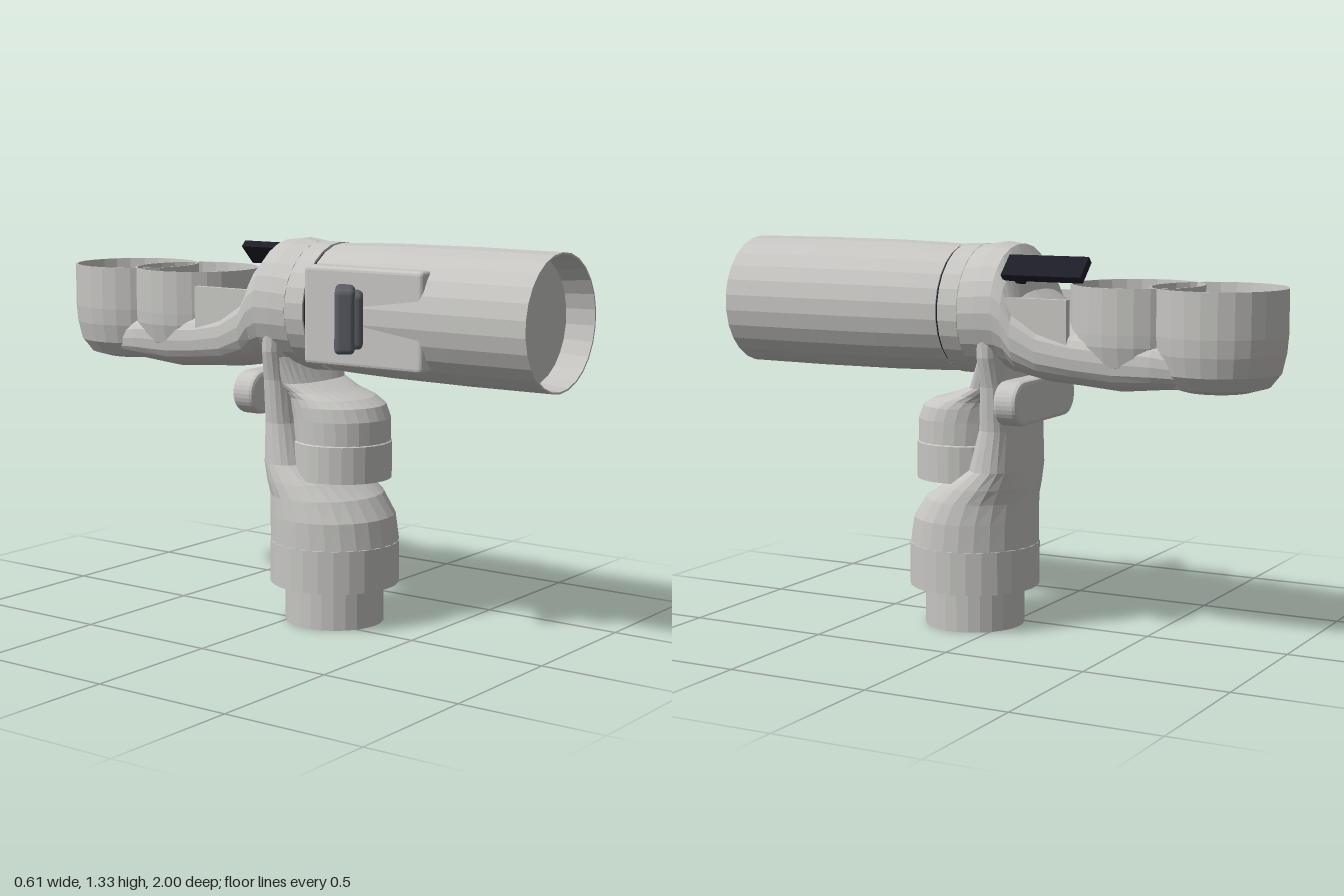
import * as THREE from 'three';
import { RoundedBoxGeometry } from 'three/addons/geometries/RoundedBoxGeometry.js';

const CX = 0.08; // shared centre line of barrel, handle and cups
const SEG = 26;

export function createModel() {
  const group = new THREE.Group();
  const mat = (name, color) => {
    const m = new THREE.MeshStandardMaterial({ color, flatShading: true });
    m.name = name;
    return m;
  };
  const grey = mat('light grey', 0xc6c5c2);
  const slate = mat('slate grey', 0x5c5e66);
  const black = mat('near black', 0x1d1d28);

  const add = (name, geo, m, x = 0, y = 0, z = 0) => {
    const mesh = new THREE.Mesh(geo, m);
    mesh.name = name;
    mesh.position.set(x, y, z);
    group.add(mesh);
    return mesh;
  };
  const lathe = (pts) => new THREE.LatheGeometry(pts.map((p) => new THREE.Vector2(...p)), SEG);

  // Skin closed rings of points; rings turn anticlockwise around the loft axis
  const loft = (rings) => {
    const pos = [], idx = [], n = rings[0].length;
    rings.forEach((r) => r.forEach((p) => pos.push(...p)));
    for (let j = 0; j < rings.length - 1; j++) {
      for (let i = 0; i < n; i++) {
        const a = j * n + i, b = j * n + (i + 1) % n;
        idx.push(a, b, b + n, a, b + n, a + n);
      }
    }
    const last = (rings.length - 1) * n;
    for (let i = 1; i < n - 1; i++) idx.push(0, i + 1, i, last, last + i, last + i + 1);
    const g = new THREE.BufferGeometry();
    g.setAttribute('position', new THREE.Float32BufferAttribute(pos, 3));
    g.setIndex(idx);
    g.computeVertexNormals();
    return g;
  };
  // Unit ring, squarer as the exponent drops below 1
  const unitRing = (e = 1) => Array.from({ length: SEG }, (_, i) => {
    const a = (i / SEG) * Math.PI * 2, c = Math.cos(a), s = Math.sin(a);
    return [Math.sign(c) * Math.abs(c) ** e, Math.sign(s) * Math.abs(s) ** e];
  });
  // Sections up y: [y, front z, back z, half width]
  const loftY = (secs) => loft(secs.map(([y, zf, zb, w, e]) =>
    unitRing(e).map(([c, s]) => [c * w, y, (zf + zb) / 2 - s * (zf - zb) / 2])));
  // Sections along z: [z, bottom y, top y, half width, exponent]
  const loftZ = (secs) => loft(secs.map(([z, y0, y1, w, e]) =>
    unitRing(e).map(([c, s]) => [c * w, (y0 + y1) / 2 + s * (y1 - y0) / 2, z])));

  // Long barrel with a recessed front face
  const barrel = add('barrel', lathe([
    [0, 0.152], [0.217, 0.152], [0.221, 0.25], [0.225, 0.4], [0.227, 0.7], [0.225, 1],
    [0.219, 1], [0.208, 0.9], [0, 0.9],
  ]), grey, CX, 1.097, 0);
  barrel.rotation.x = Math.PI / 2;

  // Dark joint and coupling ring behind the barrel
  const joint = add('barrelJoint', new THREE.CylinderGeometry(0.213, 0.213, 0.03, SEG), black, CX, 1.097, 0.148);
  joint.rotation.x = Math.PI / 2;
  const ring = add('couplingRing', lathe([
    [0, 0.05], [0.218, 0.05], [0.218, 0.066], [0.222, 0.07], [0.22, 0.143], [0, 0.143],
  ]), grey, CX, 1.097, 0);
  ring.rotation.x = Math.PI / 2;

  // Arm sweeping from the coupling down to the rear cups
  add('rearArm', loftZ([
    [-0.78, 0.875, 1.0, 0.17, 0.7],
    [-0.62, 0.865, 1.04, 0.2, 0.7],
    [-0.48, 0.85, 1.06, 0.205, 0.75],
    [-0.34, 0.862, 1.07, 0.215, 0.75],
    [-0.22, 0.87, 1.1, 0.222, 0.75],
    [-0.13, 0.885, 1.17, 0.225, 0.8],
    [-0.095, 0.89, 1.27, 0.226, 0.9],
    [-0.06, 0.885, 1.32, 0.227, 0.95],
    [0.0, 0.875, 1.327, 0.227, 1],
    [0.068, 0.875, 1.318, 0.222, 1],
  ]), grey, CX);

  // Low walls either side of the scoop in the arm
  for (const s of [-1, 1]) {
    add('scoopWall', new THREE.BoxGeometry(0.025, 0.16, 0.24), grey, CX + s * 0.195, 1.075, -0.21);
  }

  // Two open cups at the rear
  for (const [z, r, base] of [[-0.775, 0.225, 0.862], [-0.49, 0.222, 0.88]]) {
    add('rearCup', lathe([
      [0, base], [0.11, base + 0.003], [0.17, base + 0.02], [0.205, base + 0.065],
      [0.22, base + 0.13], [r, 1.05], [r, 1.2], [r - 0.006, 1.2], [0.203, 1.09], [0, 1.09],
    ]), grey, CX, 0, z);
  }

  // Handle: plug, collar and tapering body
  add('handlePlug', lathe([
    [0, 0.03], [0.16, 0.03], [0.166, 0], [0.172, 0], [0.172, 0.135], [0.165, 0.14], [0.165, 0.2],
  ]), grey, CX, 0, 0.123);
  add('handleCollar', lathe([
    [0.16, 0.18], [0.205, 0.18], [0.218, 0.14], [0.225, 0.14], [0.225, 0.288], [0.22, 0.29], [0, 0.29],
  ]), grey, CX, 0, 0.123);
  add('handleBody', loftY([
    [0.288, 0.346, -0.1, 0.224],
    [0.38, 0.33, -0.1, 0.222],
    [0.45, 0.28, -0.1, 0.212],
    [0.5, 0.2, -0.1, 0.202, 0.9],
    [0.56, 0.09, -0.098, 0.185, 0.8],
    [0.7, 0.05, -0.093, 0.172, 0.8],
    [0.85, 0.035, -0.085, 0.183, 0.75],
    [0.95, 0.035, -0.075, 0.205, 0.75],
    [1.08, 0.04, -0.07, 0.205, 0.75],
  ]), grey, CX);

  // Short downward spout under the barrel, with a sleeve at its mouth
  add('frontSpout', loftY([
    [0.63, 0.32, -0.01, 0.167],
    [0.72, 0.32, -0.02, 0.168],
    [0.765, 0.3, -0.03, 0.166],
    [0.79, 0.255, -0.035, 0.16],
    [0.81, 0.18, -0.04, 0.157],
    [0.84, 0.09, -0.05, 0.16, 0.8],
    [0.93, 0.045, -0.05, 0.18, 0.8],
  ]), grey, CX);
  add('spoutSleeve', lathe([
    [0, 0.56], [0.16, 0.56], [0.166, 0.512], [0.172, 0.512], [0.172, 0.638], [0.166, 0.642], [0, 0.642],
  ]), grey, CX, 0, 0.153);

  // Rounded cross bar on the back of the handle
  const bar = new THREE.Shape();
  bar.absarc(0.15, 0, 0.062, -Math.PI / 2, Math.PI / 2);
  bar.absarc(-0.15, 0, 0.062, Math.PI / 2, Math.PI * 1.5);
  add('crossBar', new THREE.ExtrudeGeometry(bar, {
    depth: 0.06, bevelEnabled: true, bevelSize: 0.013, bevelThickness: 0.013, bevelSegments: 2, curveSegments: 8,
  }), grey, CX, 0.8, -0.14);

  // Mounting block on the right of the barrel, narrowing towards the front
  const block = new RoundedBoxGeometry(0.1, 0.33, 0.46, 2, 0.015);
  const bp = block.attributes.position;
  for (let i = 0; i < bp.count; i++) {
    if (bp.getX(i) < 0 && bp.getZ(i) > 0) bp.setX(i, bp.getX(i) + 0.012);
  }
  add('mountBlock', block, grey, -0.098, 1.09, 0.385);

  // Angled slate housing on the block
  const housing = new THREE.Group();
  housing.name = 'sideHousing';
  housing.position.set(-0.2, 1.095, 0.376);
  housing.rotation.y = THREE.MathUtils.degToRad(35);
  for (const [w, h, d, z] of [[0.21, 0.21, 0.066, -0.012], [0.19, 0.18, 0.04, 0.026]]) {
    const part = new THREE.Mesh(new RoundedBoxGeometry(w, h, d, 3, 0.018), slate);
    part.name = 'housingShell';
    part.position.z = z;
    housing.add(part);
  }
  group.add(housing);

  // Tilted black plate and its foot, up on the left shoulder
  const plate = add('sightPlate', new THREE.BoxGeometry(0.09, 0.028, 0.29), black, 0.235, 1.25, -0.23);
  plate.rotation.z = -Math.PI / 4;
  const foot = add('sightFoot', new THREE.BoxGeometry(0.04, 0.05, 0.05), black, 0.218, 1.228, -0.12);
  foot.rotation.z = -Math.PI / 4;

  return group;
}
